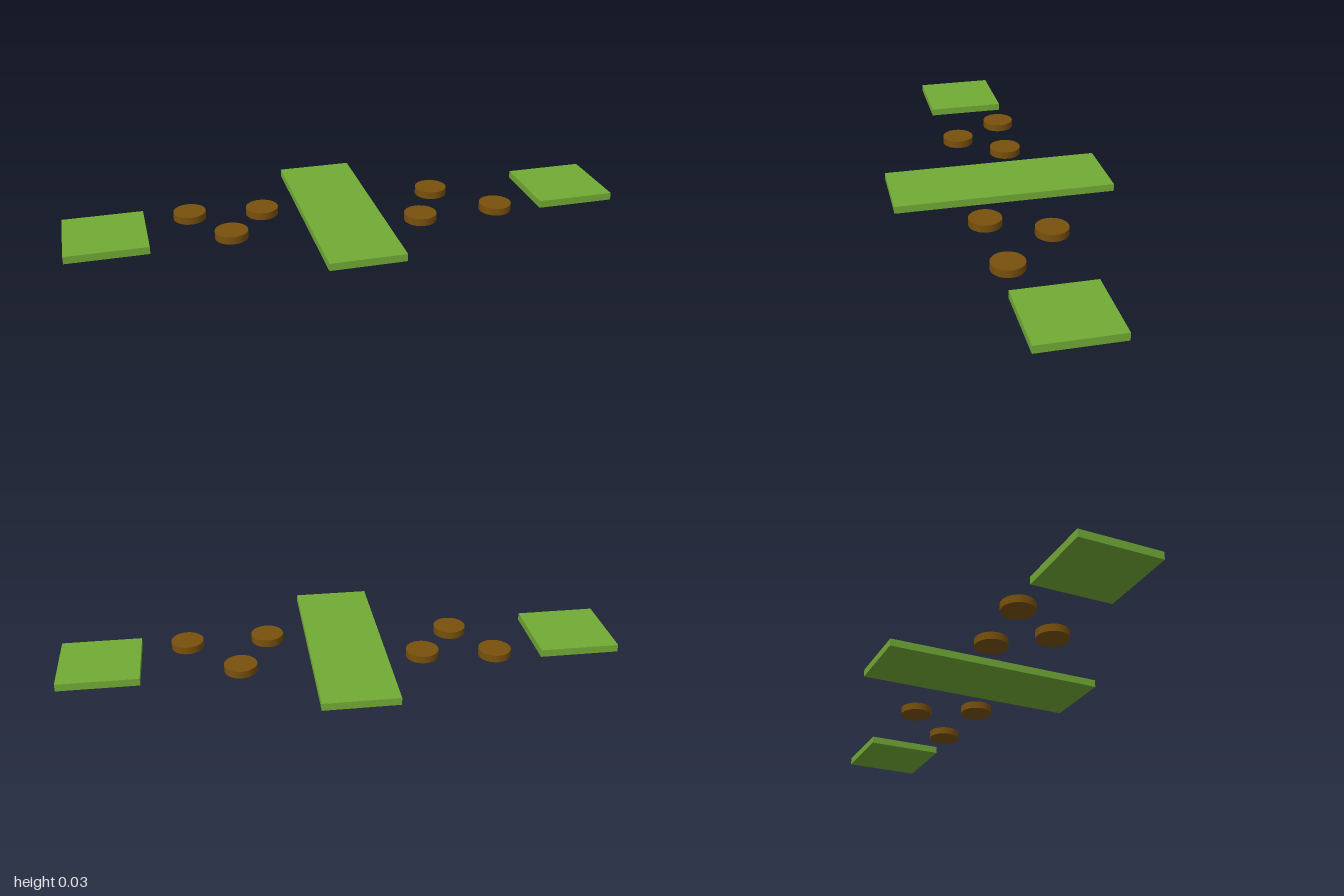
import * as THREE from 'three';

const HEIGHT = 0.027;

export function createModel() {
  const model = new THREE.Group();
  model.name = 'steppingCourse';

  const green = new THREE.MeshStandardMaterial({ color: 0x72ab36 });
  green.name = 'grass green';
  const brown = new THREE.MeshStandardMaterial({ color: 0x78500c });
  brown.name = 'wood brown';

  function add(name, geometry, material, x, z) {
    const mesh = new THREE.Mesh(geometry, material);
    mesh.name = name;
    mesh.position.set(x, HEIGHT / 2, z);
    model.add(mesh);
  }

  // Square end platforms and the long middle platform
  const endSlab = new THREE.BoxGeometry(0.287, HEIGHT, 0.288);
  add('rightPlatform', endSlab, green, -0.8565, -0.013);
  add('leftPlatform', endSlab, green, 0.8565, -0.013);
  add('middlePlatform', new THREE.BoxGeometry(0.27, HEIGHT, 0.8), green, -0.021, 0);

  // Round stepping stumps scattered between the platforms
  const stump = new THREE.CylinderGeometry(0.0585, 0.0585, HEIGHT, 32);
  const spots = [
    [-0.55, -0.115], [-0.29, -0.086], [-0.427, 0.075],
    [0.364, -0.1], [0.255, 0.107], [0.548, 0.095],
  ];
  spots.forEach(([x, z], i) => add(`stump${i + 1}`, stump, brown, x, z));

  return model;
}
